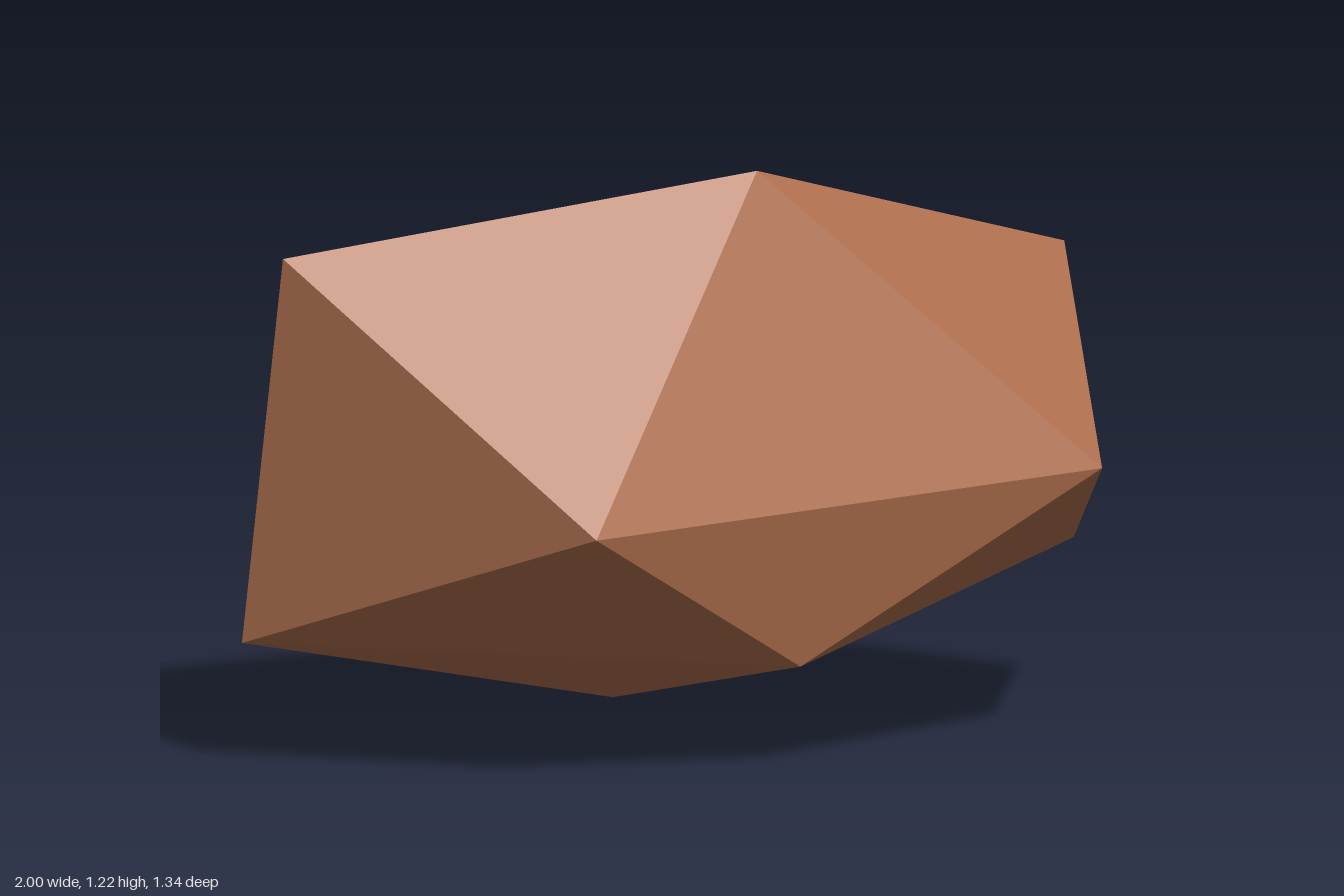
import * as THREE from 'three';

// Low-poly rock: an irregular twenty-sided solid made of two points and two rings of five.
export function createModel() {
  const group = new THREE.Group();
  group.name = 'rock';

  const top = [-0.09, 1.22, 0.45];
  const bottom = [0.095, 0, -0.41];
  // Rings run left edge, front, right edge, back; each lower corner sits between two upper ones.
  const upper = [
    [-0.985, 1.06, 0.06], [-0.61, 0.53, 0.67], [0.61, 0.575, 0.655], [0.84, 0.955, 0.135], [-0.03, 0.99, -0.395],
  ];
  const lower = [
    [-1, 0.25, -0.075], [-0.06, 0.21, 0.57], [0.995, 0.3, -0.08], [0.68, 0.51, -0.67], [-0.585, 0.72, -0.605],
  ];

  const corners = [];
  const addFace = (a, b, c) => corners.push(...a, ...b, ...c);
  for (let i = 0; i < 5; i++) {
    const j = (i + 1) % 5;
    addFace(top, upper[i], upper[j]);
    addFace(upper[i], lower[i], upper[j]);
    addFace(lower[i], lower[j], upper[j]);
    addFace(bottom, lower[j], lower[i]);
  }

  // Unshared corners give every facet its own flat normal.
  const geometry = new THREE.BufferGeometry();
  geometry.setAttribute('position', new THREE.Float32BufferAttribute(corners, 3));
  geometry.computeVertexNormals();

  const stone = new THREE.MeshStandardMaterial({ color: 0xb0704e });
  stone.name = 'reddish brown stone';
  stone.flatShading = true;

  const body = new THREE.Mesh(geometry, stone);
  body.name = 'rockBody';
  group.add(body);
  return group;
}
